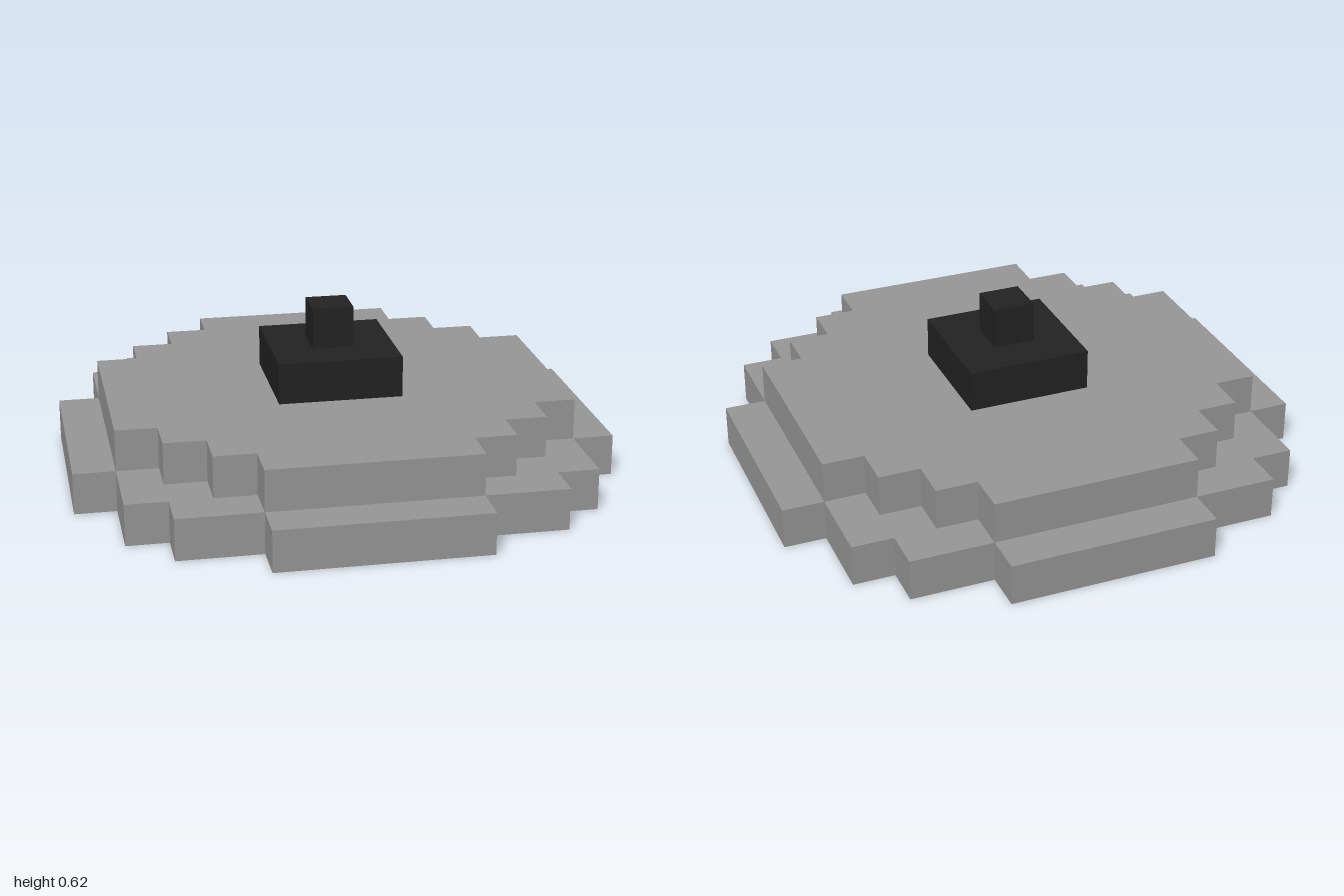
import * as THREE from 'three';

const U = 2 / 13; // one block

export function createModel() {
  const group = new THREE.Group();
  const grey = new THREE.MeshStandardMaterial({ color: 0x979797 });
  grey.name = 'grey';
  const black = new THREE.MeshStandardMaterial({ color: 0x222222 });
  black.name = 'black';

  const add = (name, geometry, material) => {
    const mesh = new THREE.Mesh(geometry, material);
    mesh.name = name;
    group.add(mesh);
    return mesh;
  };

  // Box sized and placed in blocks, standing on the given level
  const block = (name, w, d, level, z, material) =>
    add(name, new THREE.BoxGeometry(w * U, U, d * U).translate(0, (level + 0.5) * U, z * U), material);

  // One-block-thick slab from an outline given in blocks
  const slab = (points, level) => {
    const shape = new THREE.Shape(points.map(([x, y]) => new THREE.Vector2(x * U, y * U)));
    return new THREE.ExtrudeGeometry(shape, { depth: U, bevelEnabled: false })
      .rotateX(-Math.PI / 2)
      .translate(0, level * U, 0);
  };

  // Lower rim: four straight bars and four stepped corners around an open middle
  const corner = [
    [5.5, 2.5], [5.5, 4.5], [4.5, 4.5], [4.5, 5.5], [2.5, 5.5],
    [2.5, 4.5], [3.5, 4.5], [3.5, 3.5], [4.5, 3.5], [4.5, 2.5],
  ];
  for (let i = 0; i < 4; i++) {
    const turn = i * Math.PI / 2;
    block('rimBar', 5, 1, 0, 6, grey).rotation.y = turn;
    add('rimCorner', slab(corner, 0), grey).rotation.y = turn;
  }

  // Upper disc: a stepped quarter outline repeated by quarter turns
  const quarter = [[5.5, 2.5], [4.5, 2.5], [4.5, 3.5], [3.5, 3.5], [3.5, 4.5], [2.5, 4.5], [2.5, 5.5]];
  const outline = [];
  for (let i = 0; i < 4; i++) {
    for (const [x, y] of quarter) {
      outline.push([[x, y], [-y, x], [-x, -y], [y, -x]][i]);
    }
  }
  add('disc', slab(outline, 1), grey);

  // Handle
  block('handleBase', 3, 3, 2, 0, black);
  block('handleKnob', 1, 1, 3, 0, black);

  return group;
}
